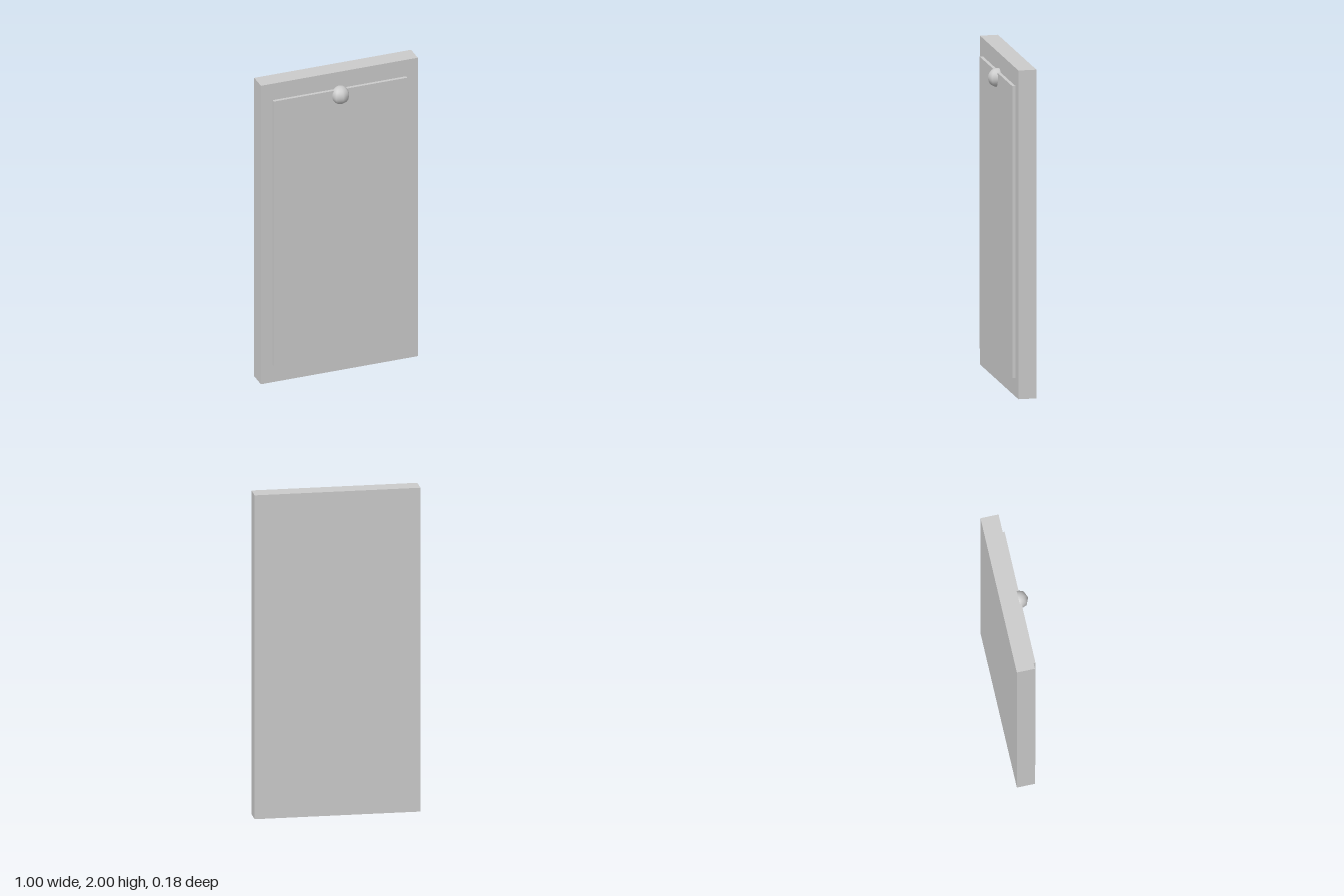
import * as THREE from 'three';

export function createModel() {
  const group = new THREE.Group();
  const material = new THREE.MeshStandardMaterial({ color: 0xcccccc });

  const add = (name, geometry, x, y, z) => {
    const mesh = new THREE.Mesh(geometry, material);
    mesh.name = name;
    mesh.position.set(x, y, z);
    group.add(mesh);
  };

  // Thick backing board
  add('board', new THREE.BoxGeometry(1, 2, 0.11), 0, 1, -0.035);

  // Thin raised sheet on the front of the board
  add('sheet', new THREE.BoxGeometry(0.85, 1.775, 0.02), 0, 1.0025, 0.03);

  // Round pin head holding the sheet: eight sides around, smooth from top to bottom
  add('pin', new THREE.SphereGeometry(0.057, 8, 16), 0, 1.853, 0.032);

  return group;
}
